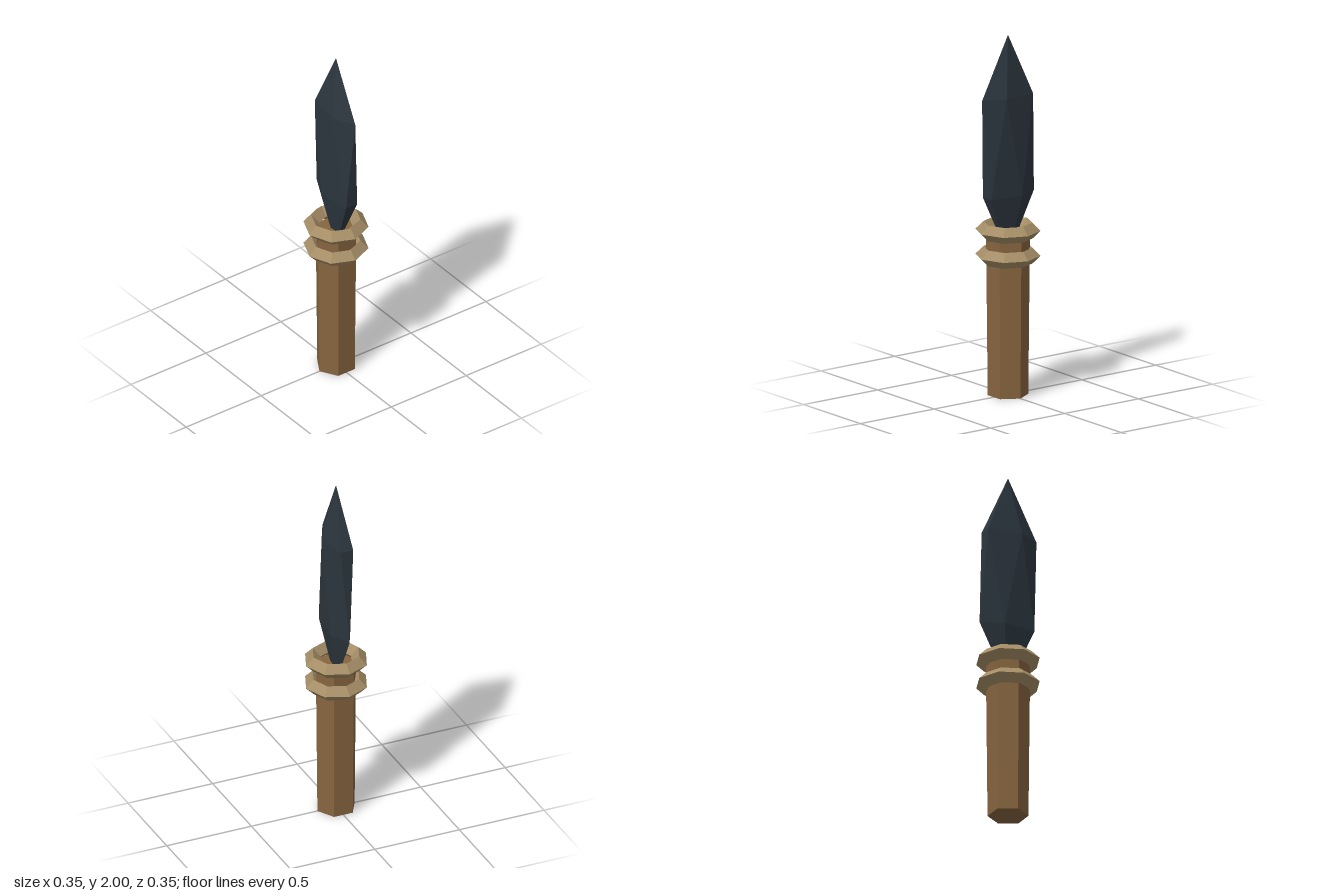
import * as THREE from 'three';
import { ConvexGeometry } from 'three/addons/geometries/ConvexGeometry.js';

function material(name, color) {
  const m = new THREE.MeshStandardMaterial({ color, flatShading: true });
  m.name = name;
  return m;
}

// Stretched icosahedron standing on its pole: two opposed pentagon rings and two tips
function bladeGeometry(halfHeight, rx, rz) {
  const ringY = halfHeight / Math.sqrt(5);
  const points = [new THREE.Vector3(0, halfHeight, 0), new THREE.Vector3(0, -halfHeight, 0)];
  for (let i = 0; i < 5; i++) {
    const a = (i / 5) * Math.PI * 2;
    const x = rx * Math.cos(a), z = rz * Math.sin(a);
    points.push(new THREE.Vector3(x, ringY, z), new THREE.Vector3(-x, -ringY, -z));
  }
  return new ConvexGeometry(points);
}

export function createModel() {
  const wood = material('brown wood', 0x87653f);
  const cord = material('tan binding', 0xa48d66);
  const stone = material('dark stone', 0x2c363e);
  const model = new THREE.Group();
  model.name = 'stoneKnife';

  const add = (name, geometry, mat, y) => {
    const mesh = new THREE.Mesh(geometry, mat);
    mesh.name = name;
    mesh.position.y = y;
    model.add(mesh);
    return mesh;
  };

  // Hexagonal handle, slightly wider at the top
  const handleHeight = 0.89;
  add('handle', new THREE.CylinderGeometry(0.119, 0.11, handleHeight, 6), wood, handleHeight / 2);

  // Two octagonal binding rings with diamond section
  const ringGeometry = new THREE.TorusGeometry(0.133, 0.044, 4, 8).rotateX(Math.PI / 2);
  add('lowerBinding', ringGeometry, cord, 0.777);
  add('upperBinding', ringGeometry, cord, 0.916);

  // Faceted blade, its lower tip sunk into the handle
  add('blade', bladeGeometry(0.615, 0.175, 0.063), stone, 1.385);

  return model;
}
